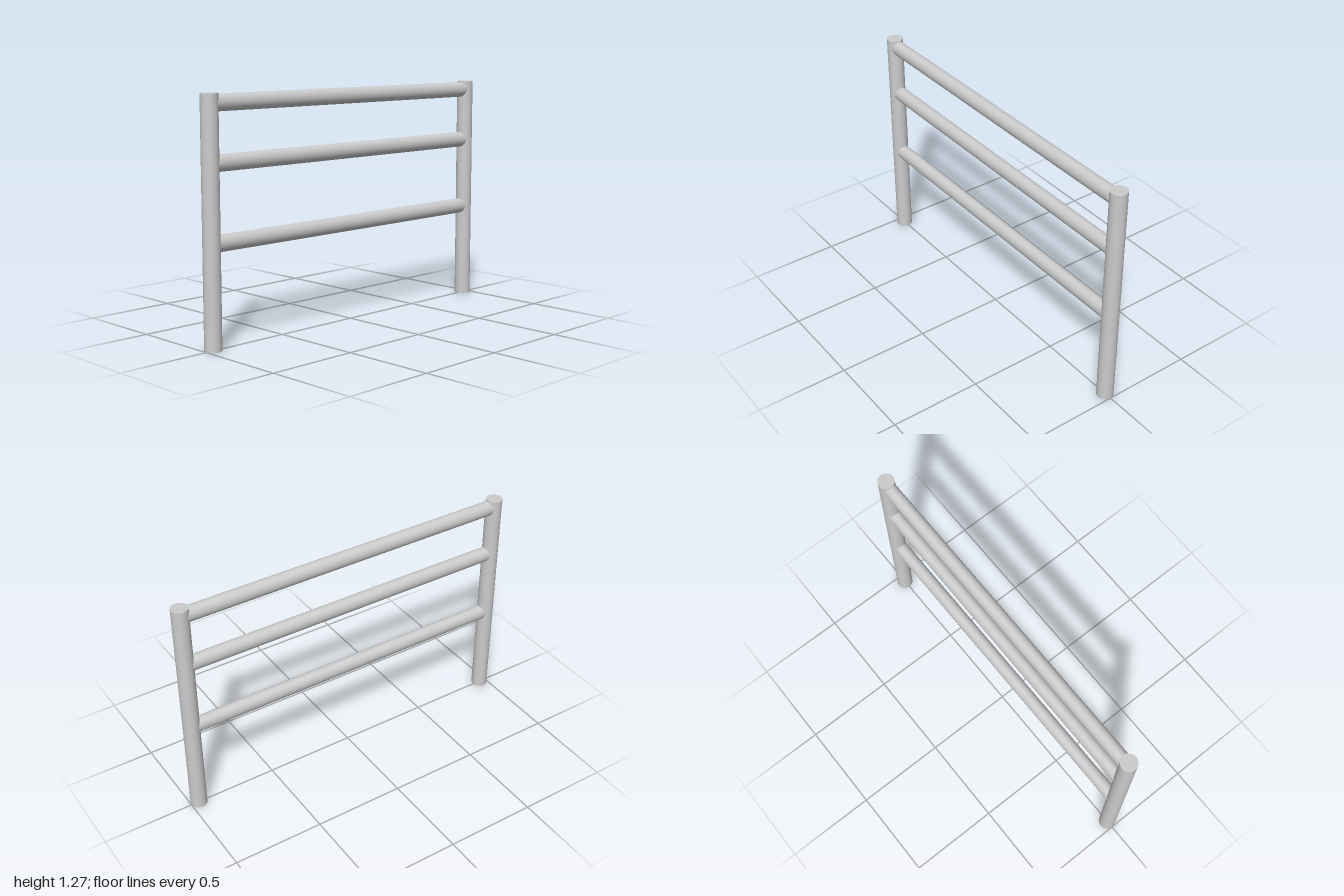
import * as THREE from 'three';

const POST_RADIUS = 0.045;
const POST_HEIGHT = 1.27;
const POST_Z = 1 - POST_RADIUS;

export function createModel() {
  const group = new THREE.Group();
  group.name = 'railing';
  const material = new THREE.MeshStandardMaterial({ color: 0xcccccc });

  // Upright round posts at both ends
  const postGeometry = new THREE.CylinderGeometry(POST_RADIUS, POST_RADIUS, POST_HEIGHT, 48);
  for (const [name, side] of [['frontPost', 1], ['backPost', -1]]) {
    const post = new THREE.Mesh(postGeometry, material);
    post.name = name;
    post.position.set(0, POST_HEIGHT / 2, side * POST_Z);
    group.add(post);
  }

  // Slightly oval rails running between the post centres
  const railGeometry = new THREE.CylinderGeometry(1, 1, 2 * POST_Z, 48);
  railGeometry.rotateX(Math.PI / 2);
  railGeometry.scale(0.037, 0.043, 1);
  for (const [name, y] of [['topRail', 1.222], ['middleRail', 0.928], ['lowerRail', 0.532]]) {
    const rail = new THREE.Mesh(railGeometry, material);
    rail.name = name;
    rail.position.y = y;
    group.add(rail);
  }

  return group;
}
